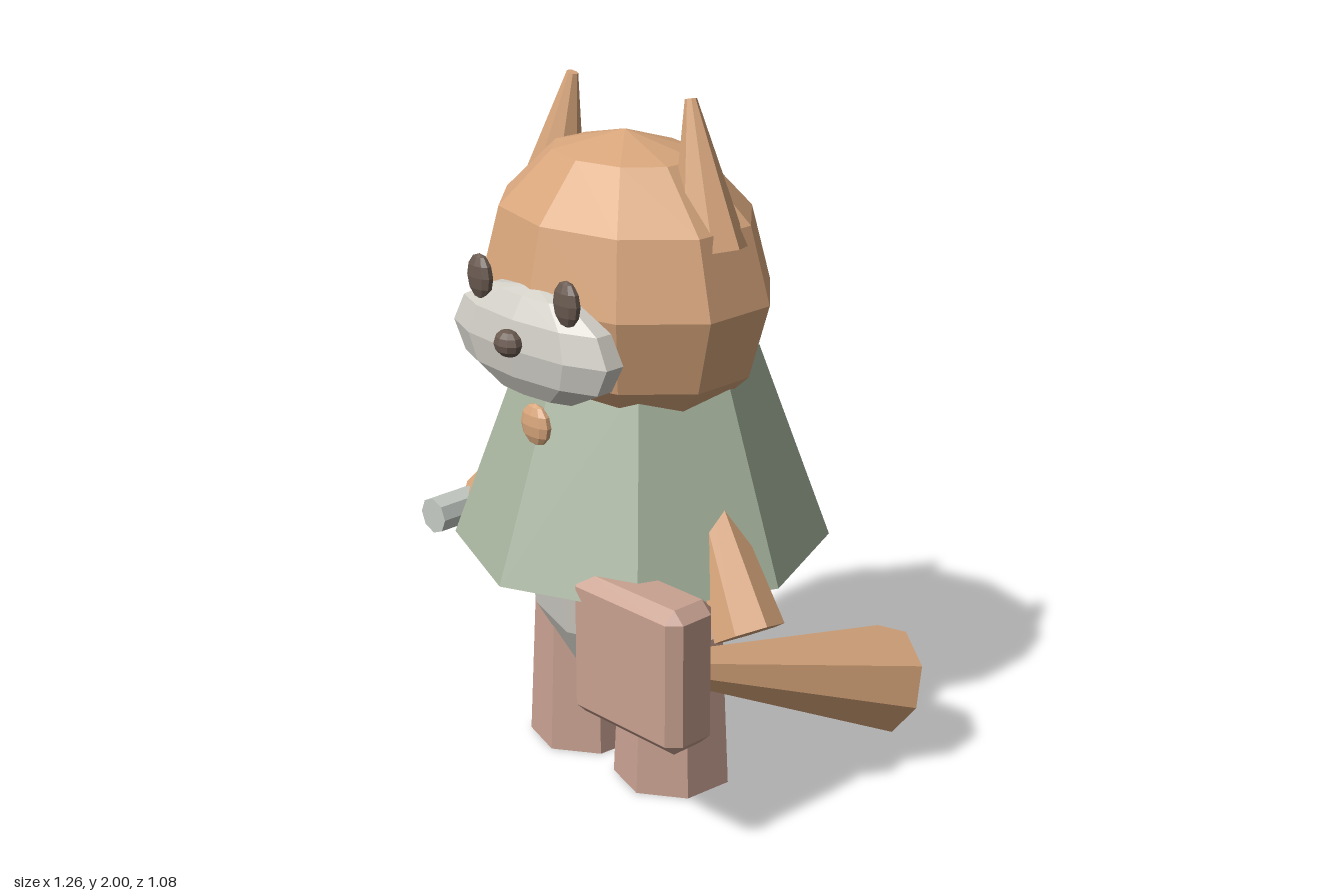
import * as THREE from 'three';
import { ConvexGeometry } from 'three/addons/geometries/ConvexGeometry.js';

const CX = -0.055; // the body's line of symmetry

const material = (name, color) => {
  const m = new THREE.MeshStandardMaterial({ color });
  m.name = name;
  return m;
};

// Faceted copy of a geometry: one normal per face
function faceted(geometry) {
  const g = geometry.index ? geometry.toNonIndexed() : geometry;
  g.computeVertexNormals();
  return g;
}

export function createModel() {
  const model = new THREE.Group();
  model.name = 'foxFigure';

  const fur = material('orangeFur', 0xd8a67c);
  const cloth = material('sageCloth', 0xa8b59f);
  const rose = material('dustyRose', 0xc8a191);
  const cream = material('paleCream', 0xd2cfc7);
  const dark = material('darkBrown', 0x6a5a50);
  const metal = material('paleMetal', 0xc5cac4);

  function add(name, geometry, mat) {
    const mesh = new THREE.Mesh(faceted(geometry), mat);
    mesh.name = name;
    model.add(mesh);
    return mesh;
  }

  // Ellipsoid with an edge facing straight forward
  function ellipsoid(name, mat, position, radii, sides = 10, rings = 6) {
    const g = new THREE.SphereGeometry(1, sides, rings);
    g.rotateY(Math.PI / 2).scale(...radii).translate(...position);
    return add(name, g, mat);
  }

  // Tapered faceted rod from one point to another
  function rod(name, mat, from, to, r0, r1, sides = 7, flatten = 1) {
    const a = new THREE.Vector3(...from);
    const b = new THREE.Vector3(...to);
    const dir = b.clone().sub(a);
    const g = new THREE.CylinderGeometry(r1, r0, dir.length(), sides);
    g.scale(1, 1, flatten);
    g.applyQuaternion(new THREE.Quaternion().setFromUnitVectors(
      new THREE.Vector3(0, 1, 0), dir.normalize()));
    const mid = a.add(b).multiplyScalar(0.5);
    return add(name, g.translate(mid.x, mid.y, mid.z), mat);
  }

  // Box with every edge cut at 45 degrees
  function chamferedBox(w, h, d, c) {
    const points = [];
    for (const x of [-1, 1]) for (const y of [-1, 1]) for (const z of [-1, 1]) {
      for (let axis = 0; axis < 3; axis++) {
        const p = [w / 2, h / 2, d / 2].map((s, i) => (i === axis ? s : s - c));
        points.push(new THREE.Vector3(p[0] * x, p[1] * y, p[2] * z));
      }
    }
    return new ConvexGeometry(points);
  }

  // Torso and cape
  ellipsoid('torso', cream, [CX, 0.72, 0.05], [0.345, 0.51, 0.285], 8, 6);
  add('cape', new THREE.CylinderGeometry(0.33, 0.54, 0.575, 8), cloth)
    .position.set(CX, 0.9725, 0);
  ellipsoid('capeButton', fur, [CX, 1.122, 0.396], [0.057, 0.06, 0.024]);

  // Head and face
  ellipsoid('head', fur, [CX, 1.46, 0.06], [0.4626, 0.425, 0.36]);
  ellipsoid('muzzle', cream, [CX, 1.357, 0.39], [0.325, 0.16, 0.095]);
  ellipsoid('nose', dark, [CX, 1.376, 0.487], [0.047, 0.038, 0.036]);

  // Mirrored eyes, ears and legs
  for (const [side, s] of [['left', 1], ['right', -1]]) {
    ellipsoid(side + 'Eye', dark, [CX + s * 0.174, 1.512, 0.434], [0.048, 0.064, 0.024]);
    rod(side + 'Ear', fur, [CX + s * 0.315, 1.61, 0.055], [CX + s * 0.23, 2.0, 0.04],
      0.115, 0.018, 8, 0.8);
    const leg = new THREE.CylinderGeometry(0.152, 0.174, 0.465, 7);
    leg.rotateY(0.14);
    add(side + 'Leg', leg, rose).position.set(CX + s * 0.183, 0.2325, 0.05);
  }

  // Arms
  rod('leftArm', fur, [0.22, 1.02, 0.06], [0.49, 0.59, 0.12], 0.045, 0.102);
  rod('rightArm', fur, [-0.25, 1.07, 0.06], [-0.553, 0.667, 0.15], 0.045, 0.1);

  // Tail widening toward its blunt end
  rod('tail', fur, [0.345, 0.47, 0.22], [0.475, 0.238, -0.48], 0.05, 0.16, 8);

  // Held items
  rod('heldRod', metal, [-0.578, 0.68, 0.01], [-0.578, 0.68, 0.35], 0.054, 0.054, 8);
  add('heldCase', chamferedBox(0.415, 0.424, 0.17, 0.034), rose)
    .position.set(0.323, 0.545, 0.36);

  return model;
}
